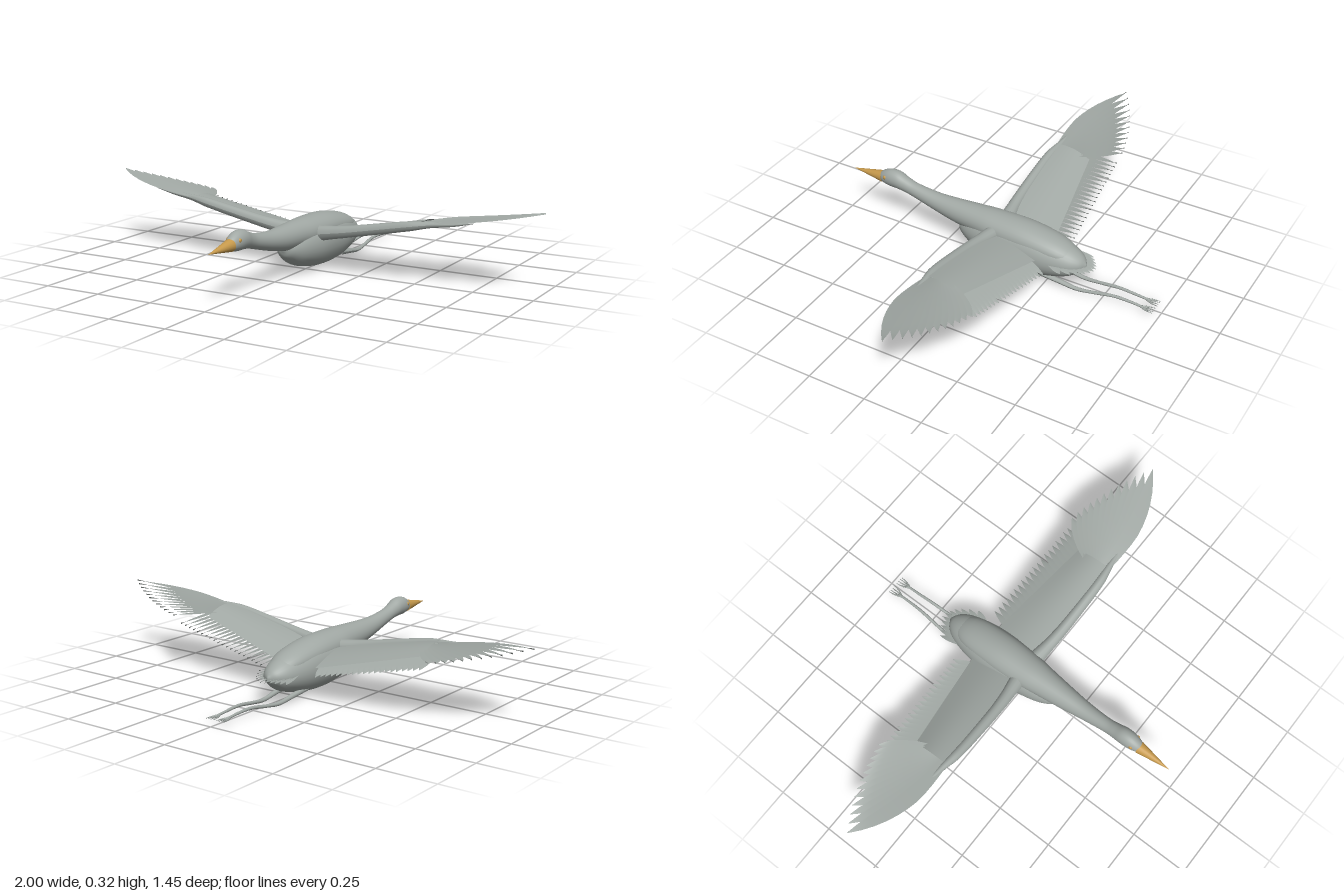
import * as THREE from 'three';
import { mergeGeometries } from 'three/addons/utils/BufferGeometryUtils.js';

const plumage = new THREE.MeshStandardMaterial({ color: 0xa1a8a4 });
plumage.name = 'grey plumage';
const feather = new THREE.MeshStandardMaterial({ color: 0xa1a8a4, side: THREE.DoubleSide });
feather.name = 'grey feathers';
const horn = new THREE.MeshStandardMaterial({ color: 0xc79a4c });
horn.name = 'ochre beak';

const V = (x, y, z) => new THREE.Vector3(x, y, z);
const lerp = THREE.MathUtils.lerp;

function part(name, geometry, material, parent) {
  const mesh = new THREE.Mesh(geometry, material);
  mesh.name = name;
  parent.add(mesh);
  return mesh;
}

// Smooth body from sections [z, bottom, top, half width], listed front to back
function loft(sections, rings = 48, sides = 28) {
  const heights = new THREE.CatmullRomCurve3(sections.map(s => V(s[0], s[1], s[2])), false, 'catmullrom', 0.5);
  const widths = new THREE.CatmullRomCurve3(sections.map(s => V(s[3], 0, 0)), false, 'catmullrom', 0.5);
  const pos = [], idx = [];
  for (let j = 0; j <= rings; j++) {
    const h = heights.getPoint(j / rings), w = widths.getPoint(j / rings).x;
    for (let i = 0; i < sides; i++) {
      const a = (i / sides) * Math.PI * 2;
      pos.push(w * Math.cos(a), (h.y + h.z) / 2 + ((h.z - h.y) / 2) * Math.sin(a), h.x);
      if (j === rings) continue;
      const p = j * sides + i, q = j * sides + (i + 1) % sides;
      idx.push(p, p + sides, q, q, p + sides, q + sides);
    }
  }
  const first = pos.length / 3, f = sections[0], l = sections[sections.length - 1];
  pos.push(0, (f[1] + f[2]) / 2, f[0], 0, (l[1] + l[2]) / 2, l[0]);
  for (let i = 0; i < sides; i++) {
    const n = (i + 1) % sides, e = rings * sides;
    idx.push(first, i, n, first + 1, e + n, e + i);
  }
  const g = new THREE.BufferGeometry();
  g.setAttribute('position', new THREE.Float32BufferAttribute(pos, 3));
  g.setIndex(idx);
  g.computeVertexNormals();
  return g;
}

// Tube whose radius follows a list of values along its path
function taperedTube(points, radii, steps = 32, sides = 10) {
  const curve = new THREE.CatmullRomCurve3(points);
  const g = new THREE.TubeGeometry(curve, steps, 1, sides, false);
  const pos = g.attributes.position, v = V(0, 0, 0);
  for (let j = 0; j <= steps; j++) {
    const c = curve.getPointAt(j / steps);
    const t = (j / steps) * (radii.length - 1), k = Math.min(Math.floor(t), radii.length - 2);
    const r = lerp(radii[k], radii[k + 1], t - k);
    for (let i = 0; i <= sides; i++) {
      const n = j * (sides + 1) + i;
      v.fromBufferAttribute(pos, n).sub(c).multiplyScalar(r).add(c);
      pos.setXYZ(n, v.x, v.y, v.z);
    }
  }
  g.computeVertexNormals();
  return g;
}

// Sheet bent by f(u, v) with u and v from 0 to 1
function sheet(nu, nv, f) {
  const g = new THREE.PlaneGeometry(1, 1, nu, nv), pos = g.attributes.position;
  for (let i = 0; i < pos.count; i++) {
    const p = f(pos.getX(i) + 0.5, pos.getY(i) + 0.5);
    pos.setXYZ(i, p.x, p.y, p.z);
  }
  g.computeVertexNormals();
  return g;
}

// Pointed feather from base to tip, slightly tilted so neighbours overlap
function blade(base, tip, width, bow = 0, tilt = 0.004) {
  const across = V(tip.z - base.z, 0, base.x - tip.x).normalize();
  return sheet(2, 10, (u, v) => {
    const w = width * Math.min(1, 0.6 + v) * (1 - Math.pow(v, 5));
    const p = base.clone().lerp(tip, v).addScaledVector(across, (u - 0.5) * w);
    p.y += (u - 0.5) * tilt;
    p.z += bow * Math.sin(Math.PI * v);
    return p;
  });
}

// Height of the wing surface
const wingY = (x, z) => 0.145 + 0.2 * x + 0.21 * z;

function createWing(s) {
  const wing = new THREE.Group();
  wing.name = s > 0 ? 'leftWing' : 'rightWing';
  const on = (x, z, lift = 0) => V(s * x, wingY(x, z) + lift, z);

  // Arm along the leading edge, ending in a thin pointed digit
  part('wingArm', taperedTube(
    [V(s * 0.05, 0.16, -0.005), V(s * 0.18, 0.182, 0.01), V(s * 0.34, 0.213, 0.016), V(s * 0.48, 0.24, 0.016),
      V(s * 0.56, 0.252, 0.008), V(s * 0.66, 0.262, 0.002), V(s * 0.75, 0.277, 0.005)],
    [0.034, 0.027, 0.024, 0.023, 0.022, 0.02, 0.012, 0.008, 0.001], 40, 14), plumage, wing);

  // Smooth covert panel above the feathers
  part('coverts', sheet(16, 8, (u, v) => {
    const x = lerp(0.06, 0.54, u), z = lerp(0.0, lerp(-0.225, -0.145, u), v);
    return on(x, z, 0.012 + 0.012 * Math.sin(Math.PI * v) - 0.004 * v);
  }), feather, wing);

  // Trailing feathers of the inner wing
  const inner = [];
  for (let i = 0; i < 20; i++) {
    const t = i / 19;
    inner.push(blade(on(0.075 + 0.46 * t, -0.005), on(0.14 + 0.46 * t, -0.285 + 0.035 * t), 0.046, 0, s * 0.006));
  }
  part('secondaryFeathers', mergeGeometries(inner), feather, wing);

  // Fan of long feathers at the wing tip
  const outer = [];
  for (let i = 0; i < 12; i++) {
    const t = i / 11;
    outer.push(blade(on(0.51 + 0.03 * t, -0.04 + 0.04 * t, 0.004),
      on(0.64 + 0.36 * t, -0.255 + 0.055 * t + 0.1 * t * t, 0.025 * (1 - t)), 0.066, 0.035 * t, s * 0.006));
  }
  part('primaryFeathers', mergeGeometries(outer), feather, wing);
  return wing;
}

function createLeg(s) {
  const leg = new THREE.Group();
  leg.name = s > 0 ? 'leftLeg' : 'rightLeg';
  part('shank', taperedTube(
    [V(s * 0.045, 0.035, -0.22), V(s * 0.043, 0.022, -0.31), V(s * 0.04, 0.011, -0.39), V(s * 0.036, 0.018, -0.46),
      V(s * 0.03, 0.031, -0.55), V(s * 0.027, 0.029, -0.62), V(s * 0.027, 0.024, -0.68)],
    [0.013, 0.011, 0.009, 0.007, 0.007, 0.006, 0.005]), plumage, leg);
  // Trailing toes
  for (const d of [-0.02, -0.007, 0.006, 0.016]) {
    part('toe', taperedTube([V(s * 0.027, 0.025, -0.665), V(s * (0.027 + d * 0.7), 0.023, -0.695),
      V(s * (0.027 + d), 0.023, -0.727)], [0.004, 0.003, 0.001], 8, 6), plumage, leg);
  }
  return leg;
}

export function createModel() {
  const bird = new THREE.Group();
  bird.name = 'flyingBird';

  // Rounded belly
  part('body', loft([
    [0.182, 0.115, 0.13, 0.008], [0.165, 0.08, 0.16, 0.04], [0.1, 0.04, 0.19, 0.07], [0, 0.015, 0.21, 0.09],
    [-0.1, 0.005, 0.22, 0.095], [-0.22, 0.012, 0.208, 0.092], [-0.33, 0.04, 0.175, 0.07],
    [-0.385, 0.075, 0.145, 0.04], [-0.41, 0.1, 0.115, 0.004]]), plumage, bird);

  // Head, stretched neck and back in one sweep
  part('headNeckAndBack', loft([
    [0.592, 0.208, 0.232, 0.012], [0.565, 0.195, 0.254, 0.026], [0.53, 0.189, 0.268, 0.034],
    [0.49, 0.188, 0.267, 0.035], [0.45, 0.182, 0.25, 0.031], [0.4, 0.169, 0.234, 0.03], [0.3, 0.142, 0.222, 0.038],
    [0.2, 0.12, 0.223, 0.05], [0.1, 0.11, 0.227, 0.062], [0, 0.1, 0.229, 0.075], [-0.15, 0.1, 0.223, 0.08],
    [-0.3, 0.1, 0.19, 0.066], [-0.4, 0.1, 0.13, 0.015]], 60), plumage, bird);

  // Beak
  const beak = new THREE.ConeGeometry(0.026, 0.15, 20);
  beak.rotateX(Math.PI / 2 + 0.04);
  part('beak', beak, horn, bird).position.set(0, 0.217, 0.647);

  // Eyes
  for (const s of [-1, 1]) {
    const eye = part('eye', new THREE.SphereGeometry(0.009, 14, 10), horn, bird);
    eye.position.set(s * 0.027, 0.236, 0.546);
    eye.scale.x = 0.7;
  }

  // Tail fan, spread a little wider to the left
  const tail = [];
  for (let i = 0; i < 11; i++) {
    const t = i / 10, x = -0.085 + 0.185 * t;
    tail.push(blade(V(x * 0.45, 0.122, -0.25),
      V(x, 0.095 + 0.015 * t, -0.4 - 0.05 * Math.sin(Math.PI * t) + 0.06 * t ** 4), 0.036));
  }
  part('tailFeathers', mergeGeometries(tail), feather, bird);

  for (const s of [-1, 1]) bird.add(createWing(s), createLeg(s));
  return bird;
}
